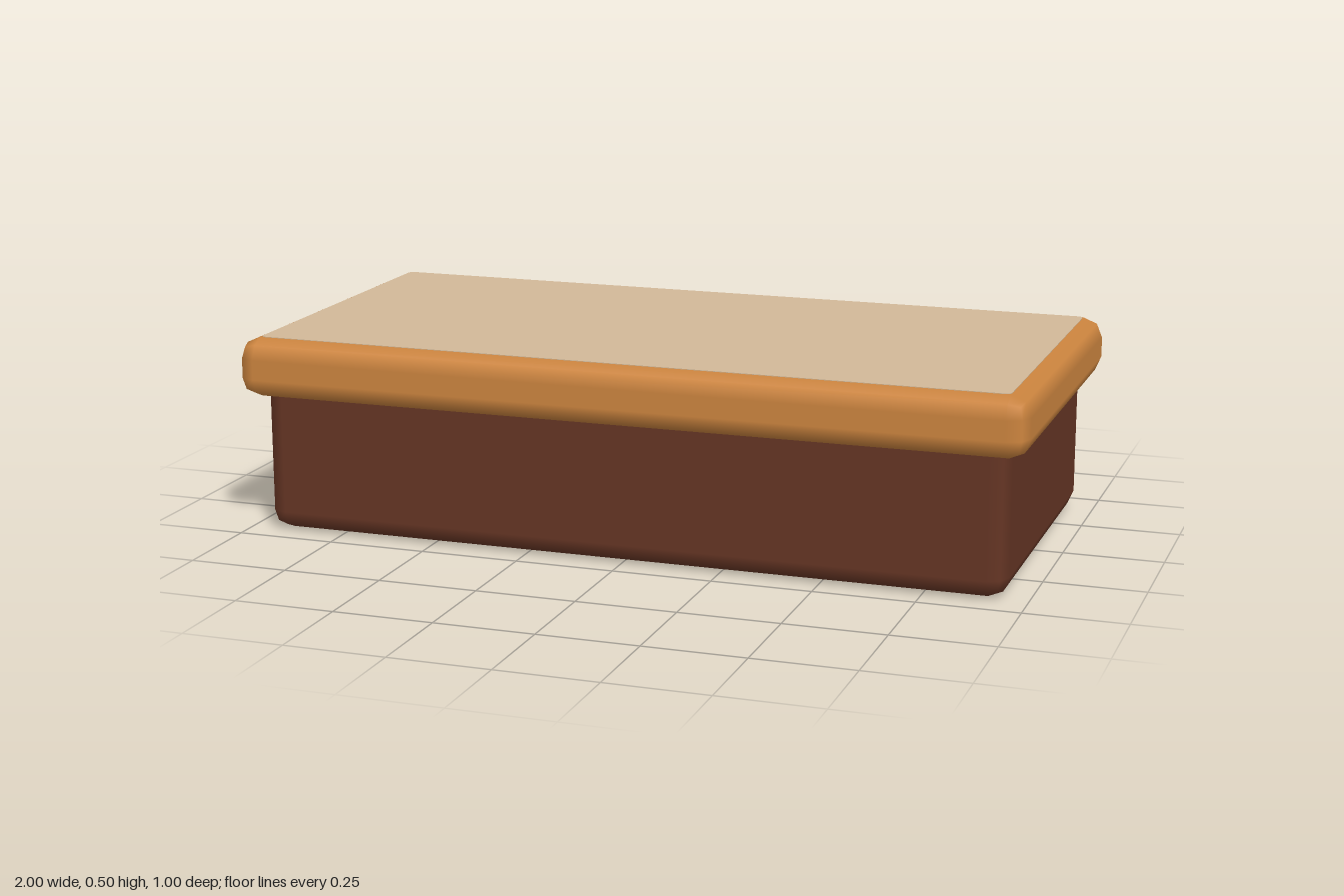
import * as THREE from 'three';
import { RoundedBoxGeometry } from 'three/addons/geometries/RoundedBoxGeometry.js';

function material(name, color) {
  const m = new THREE.MeshStandardMaterial({ color });
  m.name = name;
  return m;
}

export function createModel() {
  const group = new THREE.Group();
  group.name = 'box';

  const darkWood = material('dark brown', 0x653524);
  const lightWood = material('golden brown', 0xcd853f);
  const tan = material('tan', 0xd2b898);

  const add = (name, geometry, mat, y) => {
    const mesh = new THREE.Mesh(geometry, mat);
    mesh.name = name;
    mesh.position.y = y;
    group.add(mesh);
  };

  // Body, its top tucked into the lid
  add('body', new RoundedBoxGeometry(1.9, 0.4, 0.9, 1, 0.05), darkWood, 0.2);

  // Overhanging lid with rounded rim
  add('lid', new RoundedBoxGeometry(2, 0.15, 1, 1, 0.05), lightWood, 0.425);

  // Thin inlay covering the flat top of the lid, with slightly rounded corners
  const w = 0.95, d = 0.45, r = 0.015;
  const outline = new THREE.Shape();
  outline.absarc(w - r, d - r, r, 0, Math.PI / 2);
  outline.absarc(r - w, d - r, r, Math.PI / 2, Math.PI);
  outline.absarc(r - w, r - d, r, Math.PI, Math.PI * 1.5);
  outline.absarc(w - r, r - d, r, Math.PI * 1.5, Math.PI * 2);
  const inlay = new THREE.ExtrudeGeometry(outline, { depth: 0.004, bevelEnabled: false, curveSegments: 3 });
  inlay.rotateX(-Math.PI / 2);
  add('topInlay', inlay, tan, 0.4975);

  return group;
}
